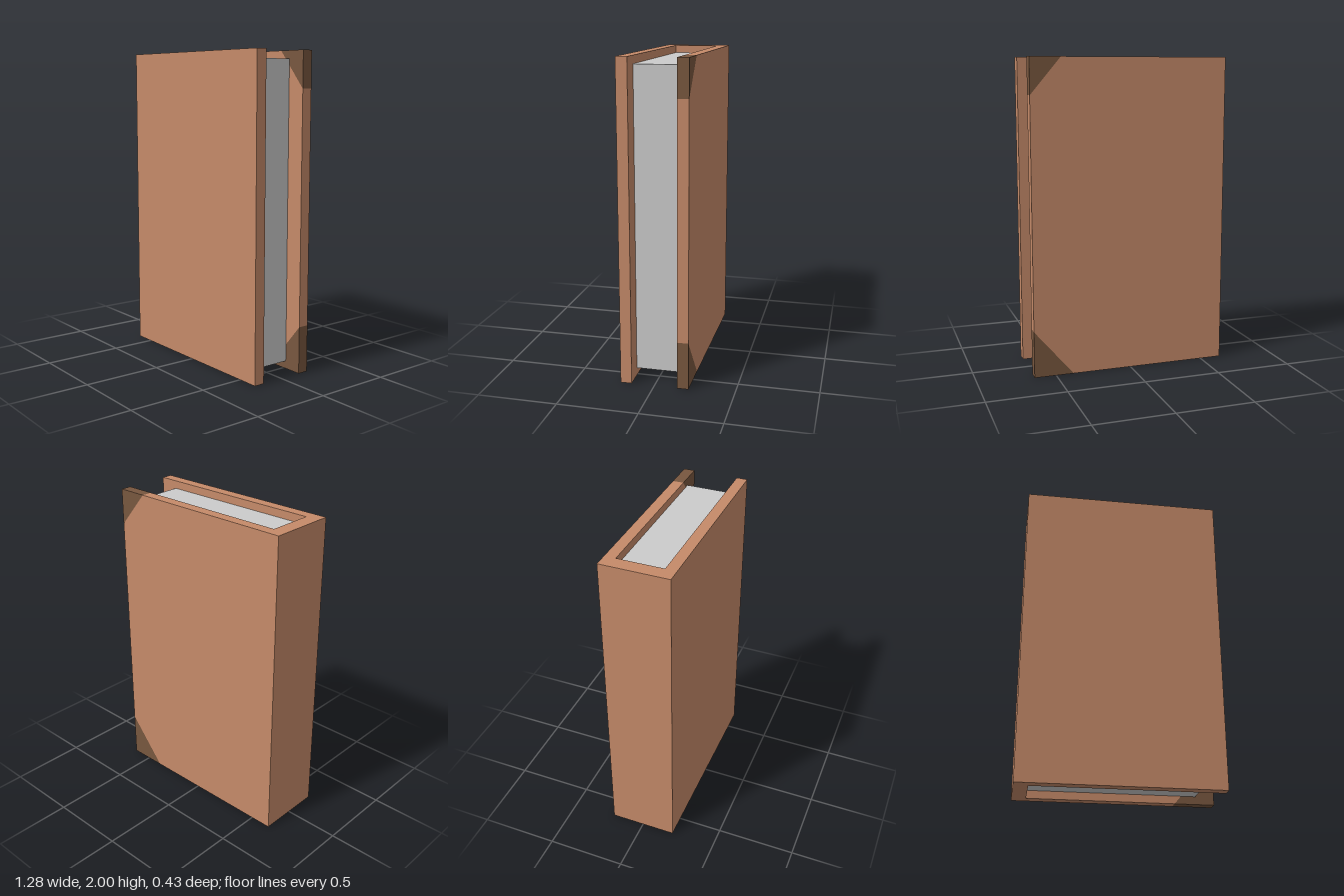
import * as THREE from 'three';

const W = 0.64, H = 2, OUT = 0.215, IN = 0.145; // half width, height, outer and inner half depth
const SPINE = -0.55, PAGE_EDGE = 0.52, INSET = 0.05;

const material = (color) => new THREE.MeshStandardMaterial({ color, flatShading: true });

export function createModel() {
  const book = new THREE.Group();
  book.name = 'book';
  const leather = material(0xc58a69);
  const darkLeather = material(0x78573f);
  const paper = material(0xcccccc);

  const add = (name, geometry, mat) => {
    const mesh = new THREE.Mesh(geometry, mat);
    mesh.name = name;
    book.add(mesh);
    return mesh;
  };
  const box = (name, x0, x1, y0, y1, z0, z1, mat) =>
    add(name, new THREE.BoxGeometry(x1 - x0, y1 - y0, z1 - z0), mat)
      .position.set((x0 + x1) / 2, (y0 + y1) / 2, (z0 + z1) / 2);
  // Outline in x and y, given the thickness of the back cover
  const backPanel = (name, points, mat) => {
    const shape = new THREE.Shape(points.map(([x, y]) => new THREE.Vector2(x, y)));
    add(name, new THREE.ExtrudeGeometry(shape, { depth: OUT - IN, bevelEnabled: false }), mat)
      .position.z = -OUT;
  };

  // Front cover, spine and page block
  box('frontCover', -W, W, 0, H, IN, OUT, leather);
  box('spine', -W, SPINE, 0, H, -IN, IN, leather);
  box('pages', SPINE, PAGE_EDGE, INSET, H - INSET, -IN, IN, paper);

  // Back cover with its two dark triangular corners
  const lowX = [0.385, 0], lowY = [W, 0.3];
  const highX = [0.445, H], highY = [W, 1.77];
  backPanel('backCover', [[-W, 0], lowX, lowY, highY, highX, [-W, H]], leather);
  backPanel('lowerCorner', [lowX, [W, 0], lowY], darkLeather);
  backPanel('upperCorner', [highY, [W, H], highX], darkLeather);

  return book;
}
